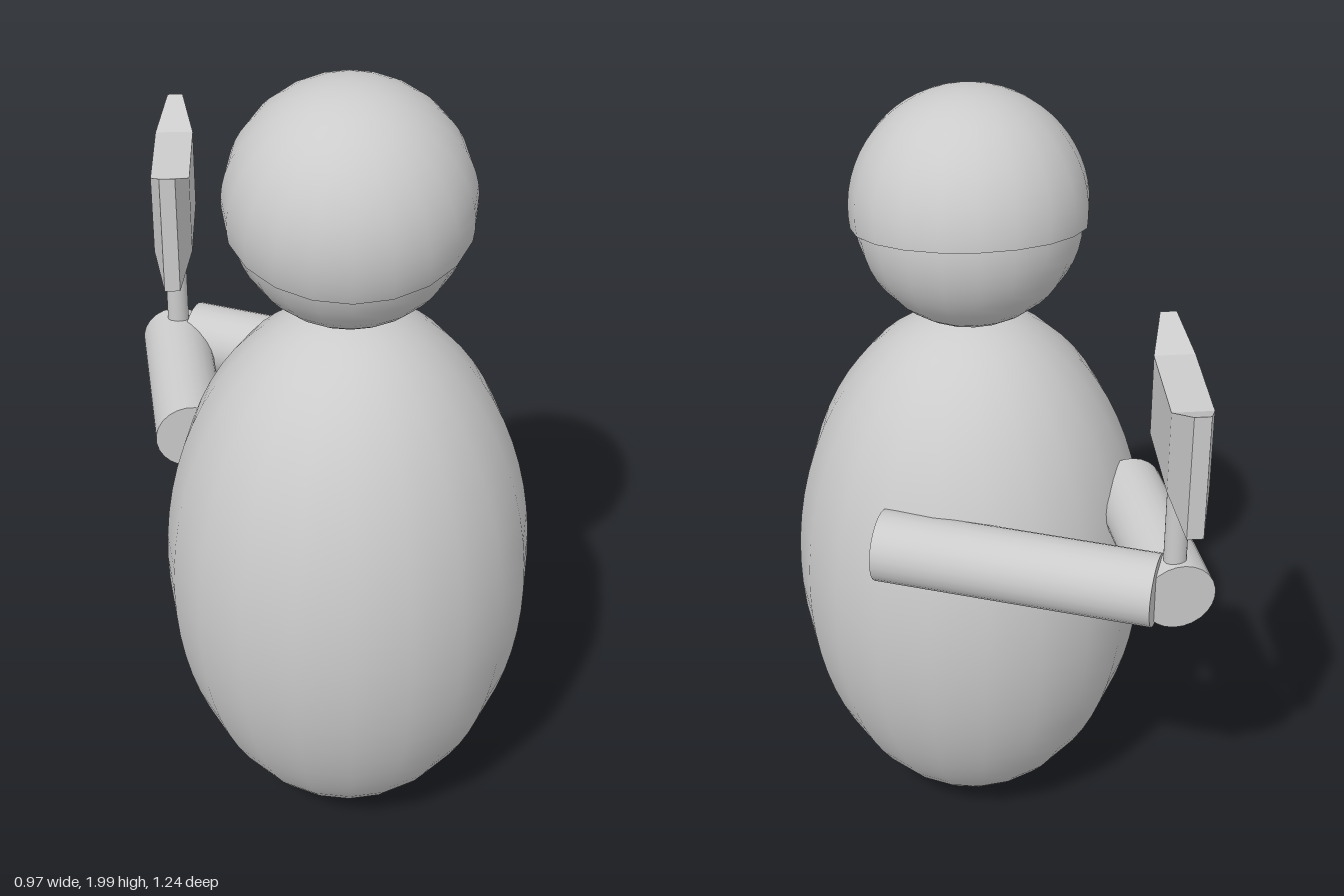
import * as THREE from 'three';

const grey = new THREE.MeshStandardMaterial({ color: 0xcccccc });
const openGrey = new THREE.MeshStandardMaterial({ color: 0xcccccc, side: THREE.DoubleSide });
const flatGrey = new THREE.MeshStandardMaterial({ color: 0xcccccc, flatShading: true });

function part(name, geometry, material = grey) {
  const mesh = new THREE.Mesh(geometry, material);
  mesh.name = name;
  return mesh;
}

// Closed cylinder running between two points
function rod(name, from, to, radius) {
  const a = new THREE.Vector3(...from);
  const b = new THREE.Vector3(...to);
  const mesh = part(name, new THREE.CylinderGeometry(radius, radius, a.distanceTo(b), 24));
  mesh.position.copy(a).lerp(b, 0.5);
  mesh.quaternion.setFromUnitVectors(new THREE.Vector3(0, 1, 0), b.sub(a).normalize());
  return mesh;
}

// Rectangular sections [z, halfWidth, halfHeight] lofted along z, capped at both ends
function loftedBlade(sections) {
  const positions = [];
  const index = [];
  for (const [z, w, h] of sections) {
    positions.push(-w, -h, z, w, -h, z, w, h, z, -w, h, z);
  }
  for (let s = 0; s < sections.length - 1; s++) {
    for (let i = 0; i < 4; i++) {
      const a = s * 4 + i;
      const b = s * 4 + ((i + 1) % 4);
      index.push(a, b, b + 4, a, b + 4, a + 4);
    }
  }
  const e = (sections.length - 1) * 4;
  index.push(0, 2, 1, 0, 3, 2, e, e + 1, e + 2, e, e + 2, e + 3);
  const geometry = new THREE.BufferGeometry();
  geometry.setAttribute('position', new THREE.Float32BufferAttribute(positions, 3));
  geometry.setIndex(index);
  const flat = geometry.toNonIndexed();
  flat.computeVertexNormals();
  return flat;
}

export function createModel() {
  const model = new THREE.Group();
  model.name = 'figureWithAxe';

  // Egg-shaped body
  const body = part('body', new THREE.SphereGeometry(1, 20, 32));
  body.scale.set(0.445, 0.715, 0.445);
  body.position.set(0.035, 0.72, 0.172);
  model.add(body);

  // Head, with a slightly larger cap tipped towards the front
  const head = part('head', new THREE.SphereGeometry(0.272, 20, 24));
  head.position.set(0.035, 1.7, 0.172);
  const cap = part('cap',
    new THREE.SphereGeometry(0.285, 20, 16, 0, Math.PI * 2, 0, Math.PI * 0.55), openGrey);
  cap.position.set(0.035, 1.715, 0.174);
  cap.rotation.x = 0.222;
  model.add(head, cap);

  // Arms meeting behind the body
  model.add(
    rod('leftArm', [0.279, 1.0, -0.173], [-0.351, 1.0, -0.413], 0.0875),
    rod('rightArm', [-0.347, 0.988, 0.037], [-0.402, 0.988, -0.428], 0.0865),
  );

  // Double-bladed axe
  const axe = new THREE.Group();
  axe.name = 'axe';
  axe.position.set(-0.389, 0, -0.389);
  const blade = part('axeHead', loftedBlade([
    [-0.23, 0.019, 0.155],
    [-0.122, 0.047, 0.102],
    [0.122, 0.047, 0.102],
    [0.227, 0.019, 0.155],
  ]), flatGrey);
  blade.position.y = 1.44;
  axe.add(rod('axeHandle', [-0.004, 0.98, 0], [-0.004, 1.4, 0], 0.027), blade);
  model.add(axe);

  return model;
}
